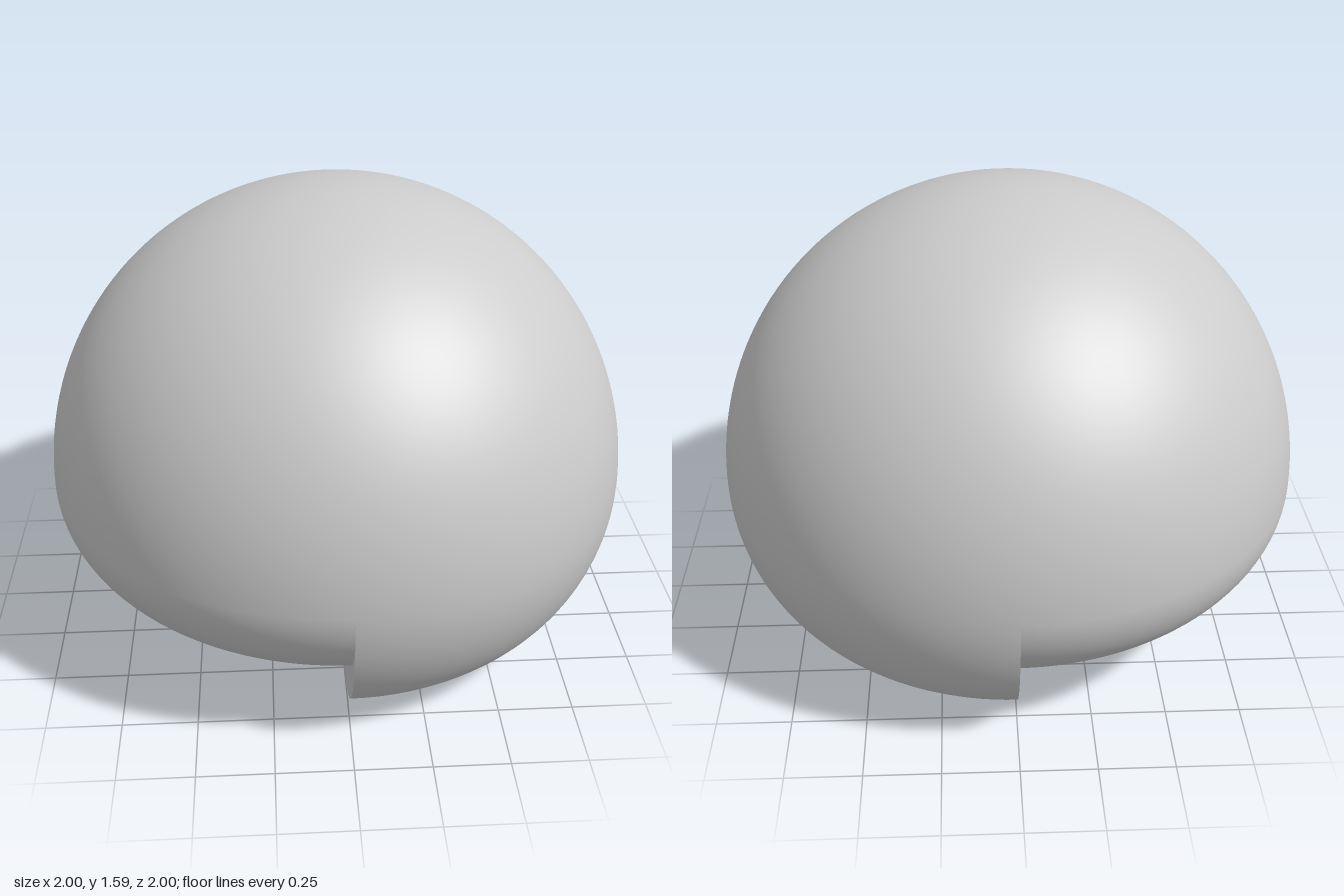
import * as THREE from 'three';

const R = 1, EQUATOR = 0.59, ROLL = 0.5;

// Points along an elliptical arc, as (radius, height)
function arc(cx, cy, rx, ry, from, to, steps) {
  return Array.from({ length: steps + 1 }, (_, i) => {
    const t = from + (to - from) * i / steps;
    return new THREE.Vector2(Math.max(0, cx + rx * Math.cos(t)), cy + ry * Math.sin(t));
  });
}

export function createModel() {
  const group = new THREE.Group();
  const material = new THREE.MeshStandardMaterial({ color: 0xcccccc, side: THREE.DoubleSide });
  const add = (name, geometry) => {
    const mesh = new THREE.Mesh(geometry, material);
    mesh.name = name;
    group.add(mesh);
  };
  const dome = arc(0, EQUATOR, R, R, 0, Math.PI / 2, 40);

  // Deep half: curls under and back up towards the centre
  const innerEnd = -Math.PI + Math.acos(0.41 / 0.55);
  const deep = [
    ...arc(ROLL, EQUATOR, 0.55, EQUATOR, innerEnd, -Math.PI / 2, 20),
    ...arc(ROLL, EQUATOR, R - ROLL, EQUATOR, -Math.PI / 2, 0, 24).slice(1),
    ...dome.slice(1),
  ];
  add('deepHalf', new THREE.LatheGeometry(deep, 64, 0, Math.PI));

  // Shallow half: open below, ending in a rim
  const rimAngle = -Math.asin(0.3 / 0.41);
  const shallow = [
    ...arc(ROLL, EQUATOR, R - ROLL, 0.41, rimAngle, 0, 20),
    ...dome.slice(1),
  ];
  add('shallowHalf', new THREE.LatheGeometry(shallow, 64, Math.PI, Math.PI));

  // Flat wall closing the deep half along the middle
  const mirrored = deep.slice(0, -1).reverse().map((p) => new THREE.Vector2(-p.x, p.y));
  const wall = new THREE.ShapeGeometry(new THREE.Shape([...deep, ...mirrored]));
  wall.rotateY(-Math.PI / 2);
  add('middleWall', wall);

  return group;
}
